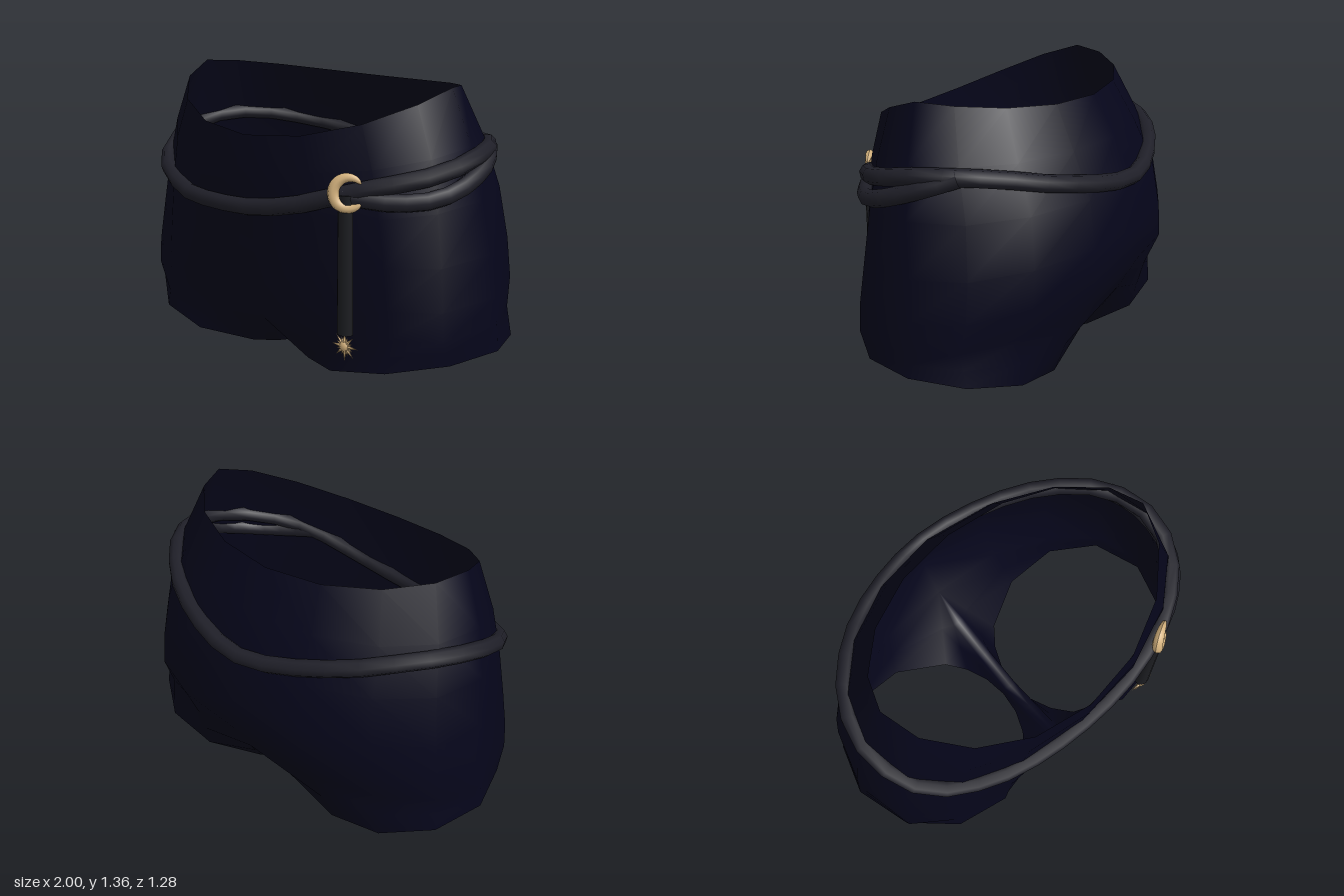
import * as THREE from 'three';
import { mergeVertices, mergeGeometries } from 'three/addons/utils/BufferGeometryUtils.js';

const cloth = new THREE.MeshStandardMaterial({ name: 'navy cloth', color: 0x05051a, side: THREE.DoubleSide });
const cord = new THREE.MeshStandardMaterial({ name: 'charcoal cord', color: 0x1f1f28, side: THREE.DoubleSide });
const strapGrey = new THREE.MeshStandardMaterial({ name: 'dark strap', color: 0x1b1c20 });
const gold = new THREE.MeshStandardMaterial({ name: 'pale gold', color: 0xd2b07c });

// Torso rings: half width, front z, back z, middle z, y at front, side and back,
// then the roundness power of the front and the back
const RINGS = [
  [0.765, 0.61, -0.39, 0.09, 1.15, 1.375, 1.31, 1.1, 1.12],
  [0.86, 0.61, -0.50, 0.07, 1.00, 1.12, 1.12, 0.95, 1.0],
  [0.915, 0.585, -0.60, 0.05, 0.80, 0.88, 0.92, 0.78, 0.95],
  [0.955, 0.56, -0.638, 0.02, 0.60, 0.63, 0.70, 0.62, 0.97],
  [0.98, 0.545, -0.645, 0.01, 0.42, 0.43, 0.54, 0.52, 1.0],
  [0.99, 0.535, -0.56, 0.01, 0.28, 0.30, 0.36, 0.5, 1.0],
];
const N = 8;
const V = (x, y, z) => new THREE.Vector3(x, y, z);

// Point on a ring; t runs from 0 (front) to PI (back) round the +x side
function ringPoint([a, zf, zb, zc, yf, ys, yb, pf, pb], t) {
  const c = Math.cos(t), k = Math.abs(c) < 1e-6 ? 0 : Math.abs(c);
  const z = c > 0 ? zc + (zf - zc) * Math.pow(k, pf) : zc + (zb - zc) * Math.pow(k, pb);
  const y = c > 0 ? ys + (yf - ys) * Math.pow(k, 1.4) : ys + (yb - ys) * Math.pow(k, 1.7);
  return V(a * Math.sin(t), y, z);
}

// Point just outside the torso at angle t (negative for the -x side) and height y
function onBody(t, y, offset) {
  const col = RINGS.map(r => ringPoint(r, Math.abs(t)));
  let i = 0;
  while (i < col.length - 2 && col[i + 1].y > y) i++;
  const p = col[i].clone().lerp(col[i + 1], (col[i].y - y) / (col[i].y - col[i + 1].y));
  const out = V(p.x / 0.8, 0, (p.z - 0.05) / 0.4).normalize();
  p.addScaledVector(out, offset);
  if (t < 0) p.x *= -1;
  return p;
}

// One half of the shorts, joined down the middle with its mirror image
function shortsGeometry() {
  const pos = [];
  const tri = (...pts) => {
    pts.forEach(p => pos.push(p.x, p.y, p.z));
    [pts[0], pts[2], pts[1]].forEach(p => pos.push(-p.x, p.y, p.z));
  };
  const loft = (rows, closed) => {
    for (let i = 0; i < rows.length - 1; i++) {
      const n = rows[i].length;
      for (let j = 0; j < (closed ? n : n - 1); j++) {
        const k = (j + 1) % n;
        tri(rows[i][j], rows[i + 1][j], rows[i][k]);
        tri(rows[i][k], rows[i + 1][j], rows[i + 1][k]);
      }
    }
  };
  const torso = RINGS.map(r => Array.from({ length: N + 1 }, (_, j) => {
    const p = ringPoint(r, Math.PI * j / N);
    if (j === 0 || j === N) p.x = 0;
    return p;
  }));
  // The lowest ring tucks in at the front and back seams
  const last = torso[torso.length - 1];
  last[0].y -= 0.04;
  last[0].z -= 0.035;
  last[N].z += 0.02;
  loft(torso, false);

  // Narrow strip under the crotch, from back to front
  const seam = [[0.22, -0.38], [0.16, -0.16], [0.112, 0.06], [0.135, 0.22], [0.16, 0.39]].map(([y, z]) => V(0.032, y, z));
  const centre = seam.map(p => V(0, p.y, p.z));
  loft([centre, seam], false);
  tri(last[N], seam[0], centre[0]);
  tri(centre[4], seam[4], last[0]);

  // Leg: torso half ring closed by the crotch strip, lofted to the tilted hem
  const top = [...last, ...seam];
  const hem = top.map((_, j) => {
    const deg = j <= N ? -45 + 270 * j / N : 225 + 90 * (j - N) / (seam.length + 1);
    const f = deg * Math.PI / 180, s = Math.sin(f), c = Math.cos(f);
    return V(0.52 + 0.48 * s, 0.095 + 0.08 * s + 0.012 * c, 0.05 + 0.48 * c - 0.04 * Math.max(0, s));
  });
  const middle = top.map((p, j) => p.clone().lerp(hem[j], 0.5));
  loft([top, middle, hem], true);

  const g = new THREE.BufferGeometry();
  g.setAttribute('position', new THREE.Float32BufferAttribute(pos, 3));
  const merged = mergeVertices(g, 1e-4);
  merged.computeVertexNormals();
  return merged;
}

function cordGeometry(stops, closed, segments) {
  const curve = new THREE.CatmullRomCurve3(stops.map(([t, y]) => onBody(t, y, 0.008)), closed);
  return new THREE.TubeGeometry(curve, segments, 0.041, 8, closed);
}

// Torus arc whose tube thins towards both tips
function crescentGeometry() {
  const R = 0.068, arc = Math.PI * 1.6;
  const g = new THREE.TorusGeometry(R, 0.026, 8, 32, arc);
  const p = g.attributes.position;
  for (let i = 0; i < p.count; i++) {
    const x = p.getX(i), y = p.getY(i);
    const a = (Math.atan2(y, x) + Math.PI * 2 + 1e-6) % (Math.PI * 2);
    const k = 0.12 + 0.88 * Math.pow(Math.max(0, Math.sin(Math.PI * Math.min(1, a / arc))), 0.55);
    const r = R + (Math.hypot(x, y) - R) * k;
    p.setXYZ(i, r * Math.cos(a), r * Math.sin(a), p.getZ(i) * k);
  }
  g.rotateZ(Math.PI * 0.24);
  g.computeVertexNormals();
  return g;
}

// Small dome with long and short spikes
function starGeometry() {
  const parts = [new THREE.SphereGeometry(0.025, 12, 8).scale(1, 1, 0.7)];
  for (let i = 0; i < 16; i++) {
    const len = i % 4 === 0 ? 0.074 : i % 2 === 0 ? 0.068 : 0.048;
    parts.push(new THREE.ConeGeometry(0.013, len, 5).translate(0, len / 2, 0).rotateZ(i * Math.PI / 8));
  }
  return mergeGeometries(parts);
}

export function createModel() {
  const model = new THREE.Group();
  model.name = 'beltedShorts';
  const add = (name, geometry, material, x = 0, y = 0, z = 0) => {
    const m = new THREE.Mesh(geometry, material);
    m.name = name;
    m.position.set(x, y, z);
    model.add(m);
    return m;
  };

  add('shorts', shortsGeometry(), cloth);

  // Belt: a full loop, with a second strand on the left hip
  add('belt', cordGeometry([
    [0, 0.81], [0.3, 0.86], [0.62, 0.94], [0.85, 0.98], [1.25, 1.03], [1.6, 1.075], [1.9, 1.085], [2.2, 1.07], [2.6, 1.01],
    [Math.PI, 0.94], [-2.6, 1.01], [-2.2, 1.06], [-1.85, 1.06], [-1.5, 1.01], [-1.1, 0.91], [-0.85, 0.86], [-0.5, 0.80], [-0.25, 0.80],
  ], true, 32), cord);
  add('beltSecondStrand', cordGeometry([
    [0.6, 0.93], [0.85, 0.91], [1.15, 0.92], [1.4, 0.96], [1.7, 1.03], [1.95, 1.08],
  ], false, 10), cord);

  // Hanging strap with its ornaments
  const strap = add('hangingStrap', new THREE.CylinderGeometry(0.036, 0.04, 0.64, 10), strapGrey, 0.523, 0.62, 0.535);
  strap.scale.z = 0.8;
  const crescent = add('crescentBuckle', crescentGeometry(), gold, 0.542, 0.95, 0.537);
  crescent.rotation.set(-0.15, 0.5, 0);
  add('starPendant', starGeometry(), gold, 0.525, 0.243, 0.54);
  return model;
}
